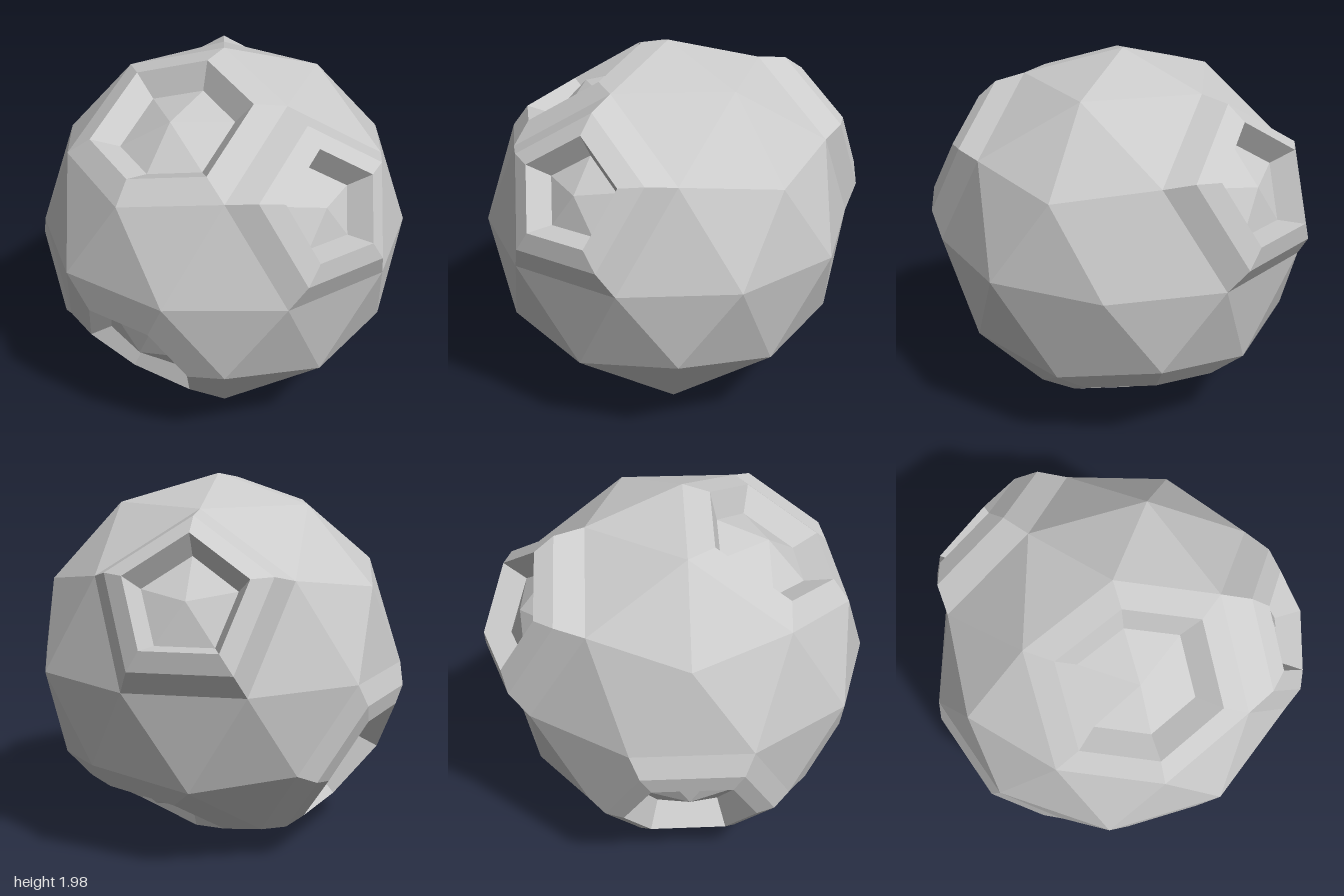
import * as THREE from 'three';

const R = 0.99;

// Faceted mesh from a list of corner triples
function facetMesh(name, tris, material) {
  const geo = new THREE.BufferGeometry().setFromPoints(tris.flat());
  geo.computeVertexNormals();
  const mesh = new THREE.Mesh(geo, material);
  mesh.name = name;
  return mesh;
}

// 12 icosahedron corners plus the 30 edge midpoints pushed out to the sphere
function spherePoints() {
  const up = new THREE.Vector3(0, 1, 0);
  const pts = [up.clone(), up.clone().negate()];
  for (let i = 0; i < 5; i++) {
    const a = (i * 2 * Math.PI) / 5;
    const p = new THREE.Vector3(Math.cos(a) * 0.8944, 0.4472, Math.sin(a) * 0.8944);
    pts.push(p, p.clone().negate());
  }
  for (let i = 0; i < 12; i++)
    for (let j = i + 1; j < 12; j++)
      if (pts[i].distanceTo(pts[j]) < 1.2)
        pts.push(pts[i].clone().add(pts[j]).normalize());
  return pts;
}

// Crater centres (unit directions); each ring is [scale towards the centre, lift along the normal]
const craters = [
  { name: 'leftRaisedCrater', at: [0.894, 0.447, 0], rings: [[0.78, 0.085], [0.55, 0.097], [0.4, -0.05]] },
  { name: 'rearRaisedCrater', at: [-0.724, 0.447, -0.526], rings: [[0.83, 0.11], [0.62, 0.14], [0.48, -0.005]] },
  { name: 'lowerRightCrater', at: [-0.688, -0.526, 0.5], rings: [[0.84, 0.06], [0.66, 0.06], [0.53, -0.11]] },
  { name: 'upperFrontCrater', at: [0.1625, 0.85, 0.5], rings: [[0.74, 0.015], [0.525, -0.125]] },
  { name: 'lowerFrontCrater', at: [0.263, -0.526, 0.809], rings: [[0.63, 0.01], [0.47, -0.1]] },
  { name: 'undersideCrater', at: [-0.1625, -0.85, -0.5], rings: [[0.68, 0.01], [0.5, -0.11]] },
];

export function createModel() {
  const group = new THREE.Group();
  group.name = 'crateredRock';
  const material = new THREE.MeshStandardMaterial({ color: 0xcccccc, flatShading: true });

  const dirs = spherePoints();
  const pts = dirs.map((d) => d.clone().multiplyScalar(R));
  const near = (i, j) => i !== j && dirs[i].distanceTo(dirs[j]) < 0.7;
  const centres = craters.map(({ at }) => {
    const target = new THREE.Vector3(...at);
    return dirs.findIndex((d) => d.distanceTo(target) < 0.1);
  });

  // Body: every triangle of mutual neighbours that does not touch a crater centre
  const body = [];
  for (let i = 0; i < pts.length; i++)
    for (let j = i + 1; j < pts.length; j++)
      for (let k = j + 1; k < pts.length; k++) {
        if (!near(i, j) || !near(j, k) || !near(i, k)) continue;
        if ([i, j, k].some((v) => centres.includes(v))) continue;
        const [a, b, c] = [pts[i], pts[j], pts[k]];
        const outward = b.clone().cross(c).dot(a) > 0;
        body.push(outward ? [a, b, c] : [a, c, b]);
      }
  group.add(facetMesh('rockBody', body, material));

  // Craters: nested rings from the surrounding corners down to a domed floor
  craters.forEach(({ name, rings }, ci) => {
    const c = centres[ci];
    const n = dirs[c];
    const apex = pts[c];
    const u = new THREE.Vector3(0.31, 0.2, 0.93).cross(n).normalize();
    const v = n.clone().cross(u);
    const angle = (p) => Math.atan2(p.dot(v), p.dot(u));
    const border = pts.filter((_, i) => near(c, i)).sort((p, q) => angle(p) - angle(q));

    const tris = [];
    let outer = border;
    let lift = 0;
    for (const [k, h] of rings) {
      const inner = border.map((p) => apex.clone().lerp(p, k).addScaledVector(n, h));
      outer.forEach((p, i) => {
        const j = (i + 1) % outer.length;
        tris.push([p, outer[j], inner[j]], [p, inner[j], inner[i]]);
      });
      outer = inner;
      lift = h;
    }
    const middle = apex.clone().addScaledVector(n, lift);
    outer.forEach((p, i) => tris.push([p, outer[(i + 1) % outer.length], middle]));
    group.add(facetMesh(name, tris, material));
  });

  // Stand on the ground
  group.children.forEach((m) => m.geometry.translate(0, R, 0));
  return group;
}
